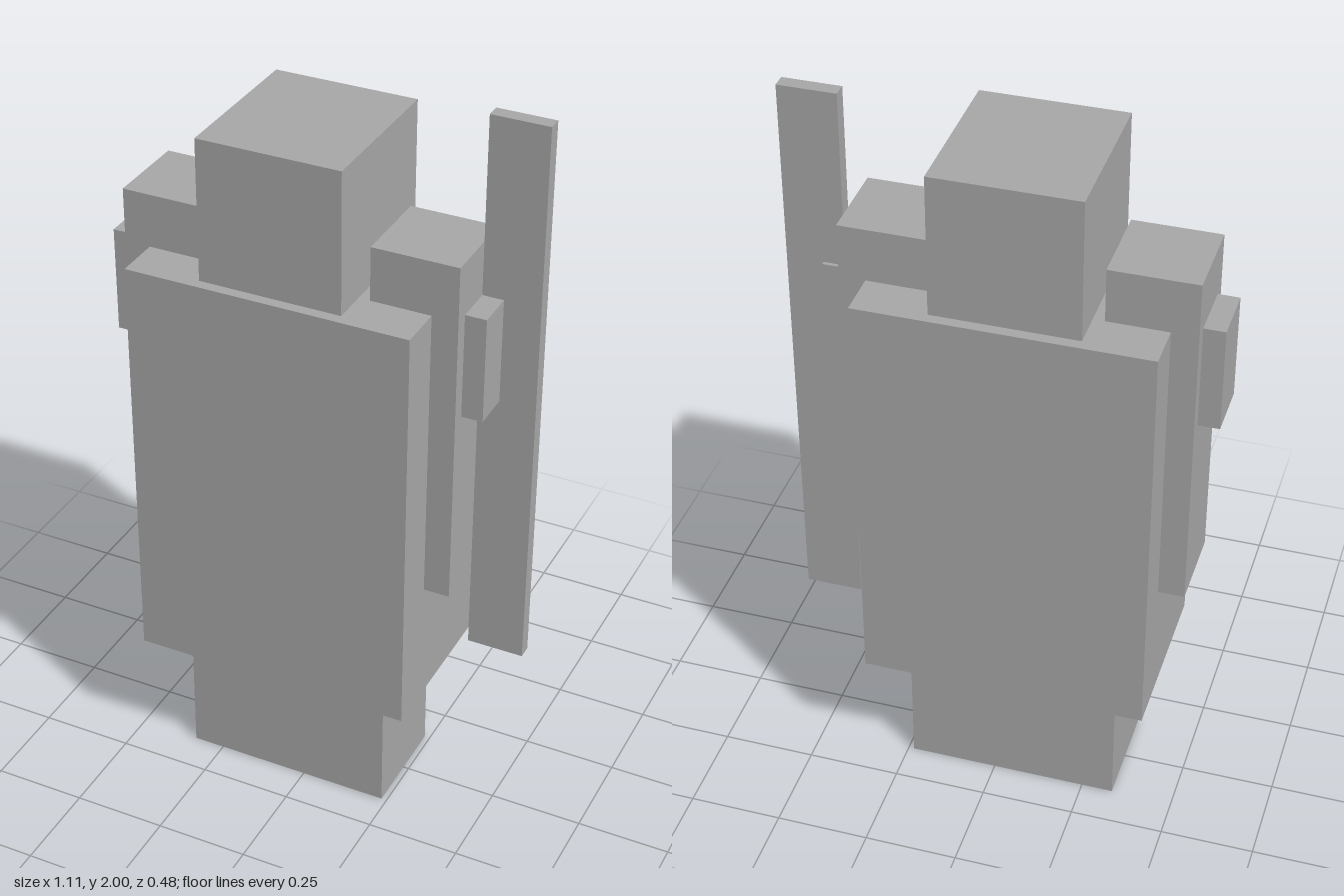
import * as THREE from 'three';

export function createModel() {
  const model = new THREE.Group();
  const grey = new THREE.MeshStandardMaterial({ color: 0xa8a8a8 });
  grey.name = 'grey';

  // Axis-aligned block from its extents on each axis
  function block(name, [x0, x1], [y0, y1], [z0, z1]) {
    const mesh = new THREE.Mesh(new THREE.BoxGeometry(x1 - x0, y1 - y0, z1 - z0), grey);
    mesh.position.set((x0 + x1) / 2, (y0 + y1) / 2, (z0 + z1) / 2);
    mesh.name = name;
    model.add(mesh);
  }

  // The figure's midline sits off centre because of the side panel
  const mid = -0.05;
  const centred = (half) => [mid - half, mid + half];

  block('legs', centred(0.285), [0, 0.38], [-0.143, 0.143]);
  block('torso', centred(0.38), [0.38, 1.525], [-0.238, 0.238]);
  block('head', centred(0.19), [1.525, 1.905], [-0.209, 0.209]);

  // Arms and their outer shoulder pads
  for (const [side, s] of [['left', 1], ['right', -1]]) {
    const span = (a, b) => [mid + s * a, mid + s * b].sort((p, q) => p - q);
    block(side + 'Arm', span(0.22, 0.449), [0.72, 1.67], [-0.114, 0.114]);
    block(side + 'ShoulderPad', span(0.449, 0.505), [1.24, 1.525], [-0.076, 0.076]);
  }

  // Tall thin panel beside the left arm
  block('sidePanel', [0.399, 0.551], [0.48, 2], [-0.066, -0.028]);

  return model;
}
